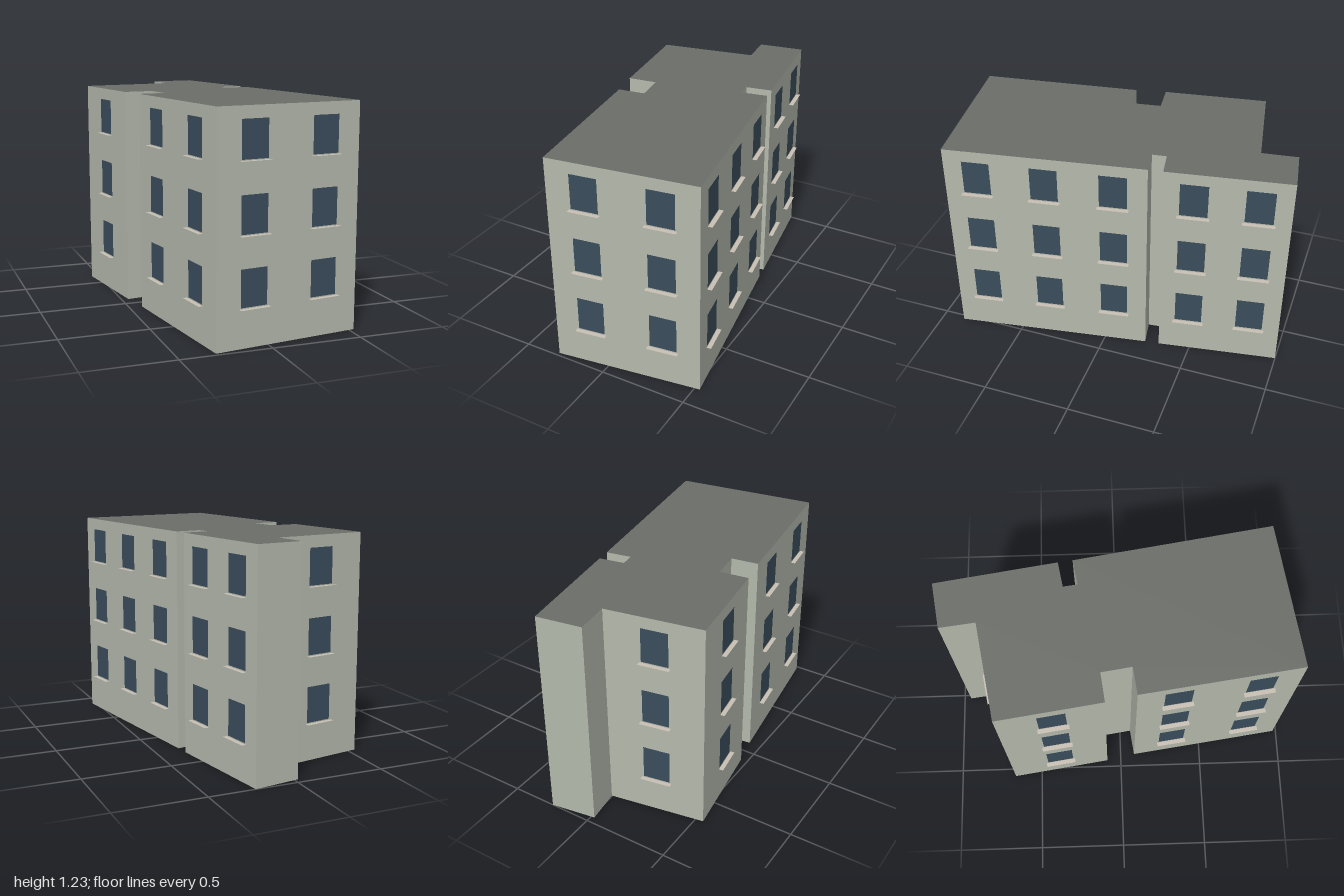
import * as THREE from 'three';

const HEIGHT = 1.23;
const SILL_LEVELS = [0.215, 0.59, 0.965];
const WIN_W = 0.153, WIN_H = 0.2;
const SILL_W = 0.175, SILL_D = 0.025;

// Floor plan as [x, z] corners, starting at the front right corner
const PLAN = [
  [-0.30, 0.98], [0.53, 0.87], [0.355, -0.24], [0.21, -0.215], [0.20, -0.295],
  [0.345, -0.32], [0.24, -1.0], [-0.02, -0.96], [0.005, -0.76], [-0.545, -0.665],
  [-0.46, -0.085], [-0.295, -0.105], [-0.27, 0.065], [-0.425, 0.085],
];

// Window columns: wall (index of its first corner), axis (0 = x, 1 = z), centres on that axis
const COLUMNS = [
  { name: 'front', wall: 0, axis: 0, at: [-0.0875, 0.325] },
  { name: 'leftFront', wall: 1, axis: 1, at: [0.69, 0.32, -0.055] },
  { name: 'leftBack', wall: 5, axis: 1, at: [-0.485, -0.83] },
  { name: 'back', wall: 8, axis: 0, at: [-0.275] },
  { name: 'rightBack', wall: 9, axis: 1, at: [-0.37] },
  { name: 'rightFront', wall: 13, axis: 1, at: [0.31, 0.76] },
];

const mat = (color, side = THREE.FrontSide) => new THREE.MeshStandardMaterial({ color, side });

export function createModel() {
  const model = new THREE.Group();
  model.name = 'apartmentBlock';
  const wallMat = mat(0xb4b9ac), roofMat = mat(0x6b6e68);
  const glassMat = mat(0x3a4d5c), sillMat = mat(0xc9c0b4, THREE.DoubleSide);

  // Body: the plan extruded upward, caps as roof and base
  const shape = new THREE.Shape(PLAN.map(([x, z]) => new THREE.Vector2(x, -z)));
  const bodyGeo = new THREE.ExtrudeGeometry(shape, { depth: HEIGHT, bevelEnabled: false });
  bodyGeo.rotateX(-Math.PI / 2);
  const body = new THREE.Mesh(bodyGeo, [roofMat, wallMat]);
  body.name = 'wallsAndRoof';
  model.add(body);

  // Windows lie just proud of the wall, each with a thin ledge at its foot
  const glassGeo = new THREE.PlaneGeometry(WIN_W, WIN_H).translate(0, WIN_H / 2, 0.003);
  const sillGeo = new THREE.PlaneGeometry(SILL_W, SILL_D)
    .rotateX(-Math.PI / 2).translate(0, -0.005, 0.004 + SILL_D / 2);

  for (const { name, wall, axis, at } of COLUMNS) {
    const a = PLAN[wall], b = PLAN[(wall + 1) % PLAN.length];
    const angle = Math.atan2(a[1] - b[1], b[0] - a[0]);
    const group = new THREE.Group();
    group.name = name + 'Windows';
    for (const c of at) {
      const t = (c - a[axis]) / (b[axis] - a[axis]);
      for (const y of SILL_LEVELS) {
        const unit = new THREE.Group();
        unit.name = 'windowUnit';
        const glass = new THREE.Mesh(glassGeo, glassMat);
        glass.name = 'windowPane';
        const sill = new THREE.Mesh(sillGeo, sillMat);
        sill.name = 'windowSill';
        unit.add(glass, sill);
        unit.position.set(a[0] + t * (b[0] - a[0]), y, a[1] + t * (b[1] - a[1]));
        unit.rotation.y = angle;
        group.add(unit);
      }
    }
    model.add(group);
  }
  return model;
}
